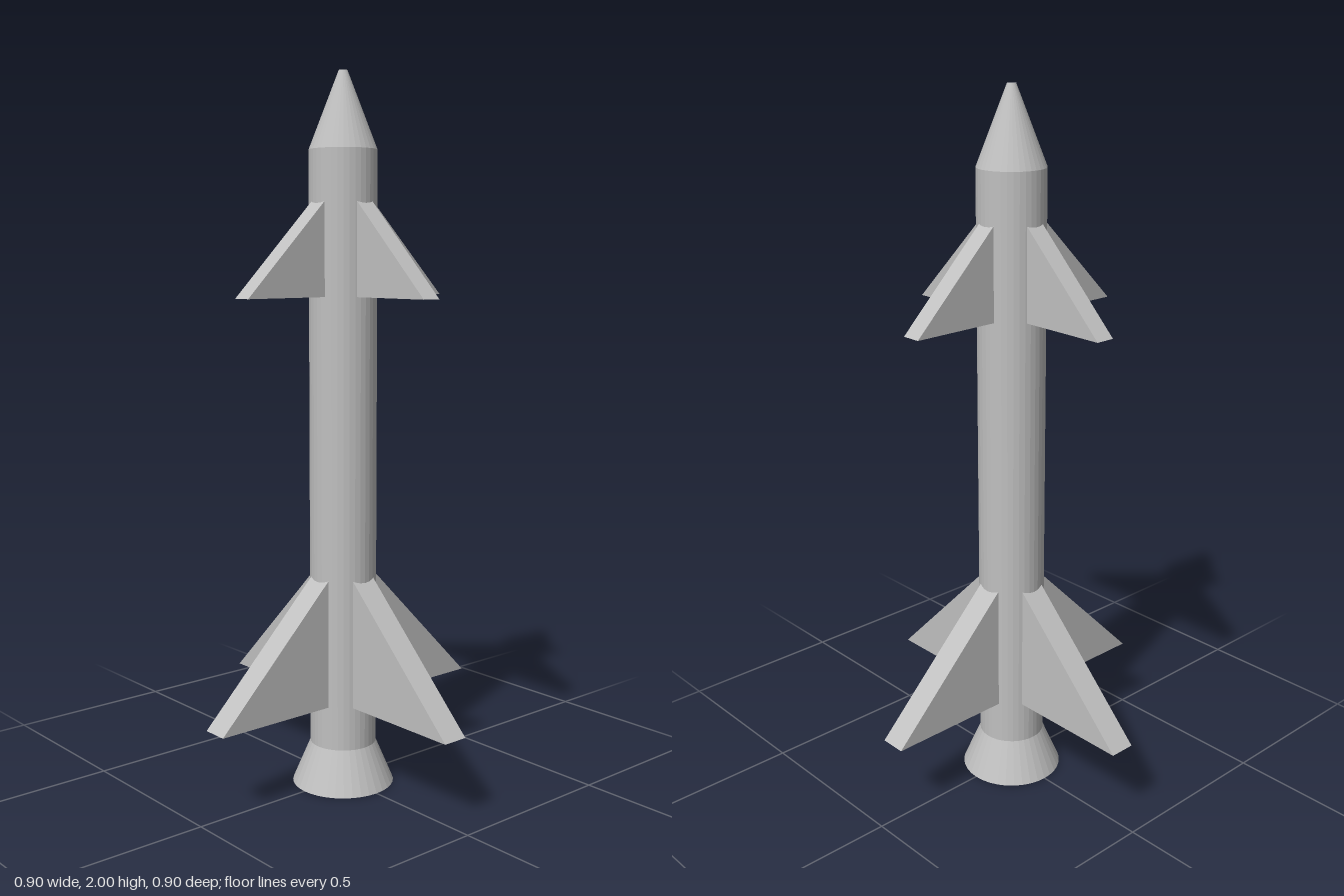
import * as THREE from 'three';

const SIDES = 36;
const BODY_R = 0.094;

export function createModel() {
  const rocket = new THREE.Group();
  rocket.name = 'rocket';
  const grey = new THREE.MeshStandardMaterial({ color: 0xc0c0c0, flatShading: true });
  grey.name = 'light grey';

  // Round section between two heights
  function section(name, rBottom, rTop, y0, y1, openEnded = false) {
    const geo = new THREE.CylinderGeometry(rTop, rBottom, y1 - y0, SIDES, 1, openEnded);
    geo.translate(0, (y0 + y1) / 2, 0);
    const mesh = new THREE.Mesh(geo, grey);
    mesh.name = name;
    rocket.add(mesh);
  }
  section('engineNozzle', 0.145, BODY_R, 0, 0.12);
  section('bodyTube', BODY_R, BODY_R, 0.12, 1.79, true);
  section('noseCone', BODY_R, 0.012, 1.79, 2);

  // Four triangular fins around the body, rooted inside the tube
  function finSet(name, span, yBase, yTop, thickness) {
    const root = 0.06;
    const slope = (yTop - yBase) / (span - BODY_R);
    const shape = new THREE.Shape([
      new THREE.Vector2(root, yBase),
      new THREE.Vector2(span, yBase),
      new THREE.Vector2(root, yBase + slope * (span - root)),
    ]);
    const geo = new THREE.ExtrudeGeometry(shape, { depth: thickness, bevelEnabled: false });
    geo.translate(0, 0, -thickness / 2);
    const set = new THREE.Group();
    set.name = name + 's';
    for (let i = 0; i < 4; i++) {
      const fin = new THREE.Mesh(geo, grey);
      fin.name = name;
      fin.rotation.y = i * Math.PI / 2;
      set.add(fin);
    }
    rocket.add(set);
  }
  finSet('tailFin', 0.451, 0.243, 0.6, 0.075);
  finSet('upperFin', 0.347, 1.394, 1.645, 0.056);

  return rocket;
}
